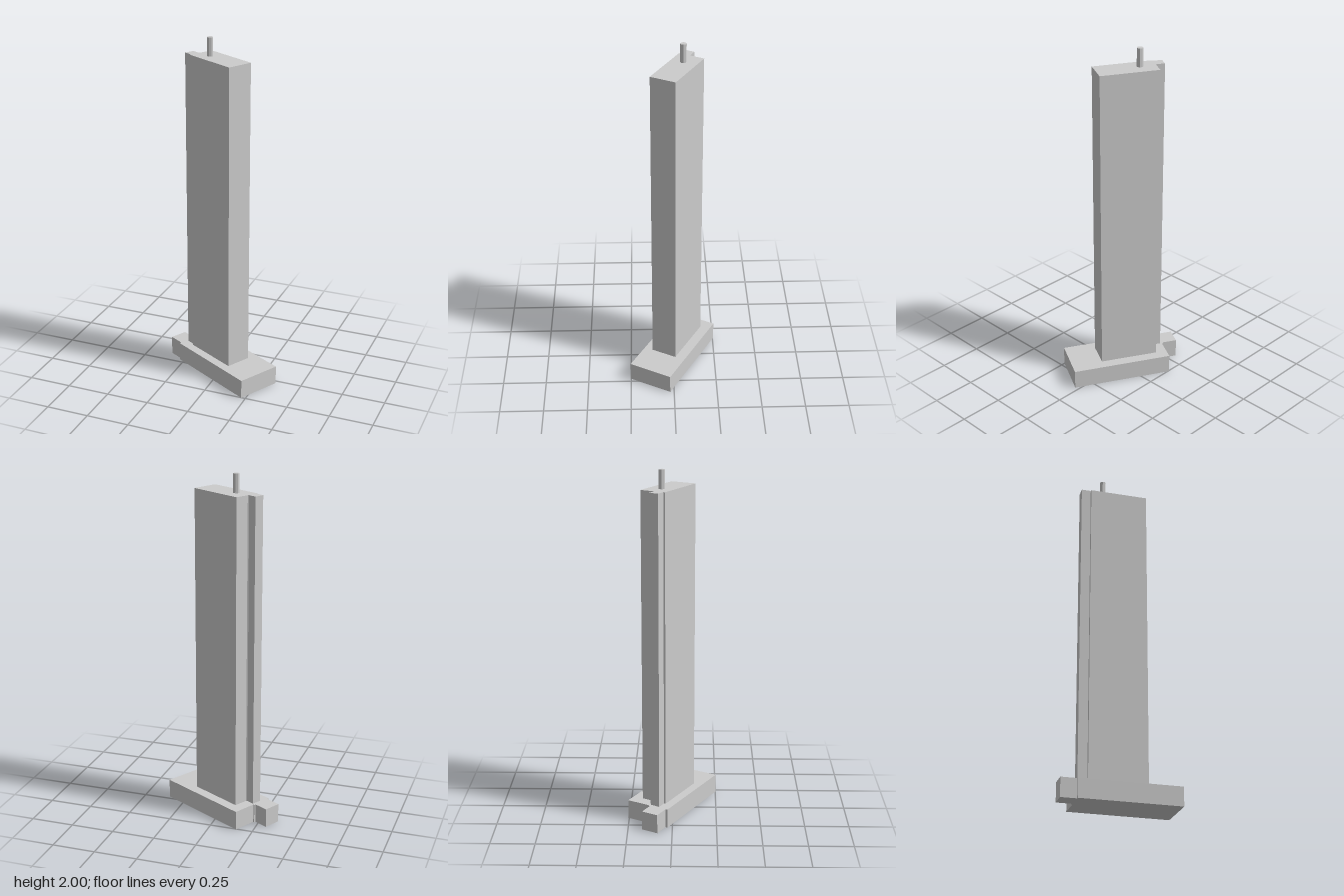
import * as THREE from 'three';

const material = new THREE.MeshStandardMaterial({ color: 0xcccccc, flatShading: true });

// Upright prism over a floor plan given as [x, z] corners
function prism(name, plan, bottom, top) {
  const shape = new THREE.Shape(plan.map(([x, z]) => new THREE.Vector2(x, -z)));
  const geometry = new THREE.ExtrudeGeometry(shape, { depth: top - bottom, bevelEnabled: false });
  geometry.rotateX(-Math.PI / 2);
  const mesh = new THREE.Mesh(geometry, material);
  mesh.name = name;
  mesh.position.y = bottom;
  return mesh;
}

export function createModel() {
  const group = new THREE.Group();
  group.name = 'towerBlock';
  const podiumTop = 0.11, roof = 1.895;

  // Wide podium with a narrow annex at its left end
  group.add(prism('podium', [
    [-0.154, -0.255], [0.353, 0.023], [0.226, 0.252], [-0.279, -0.028], [-0.274, -0.039],
    [-0.354, -0.083], [-0.306, -0.17], [-0.232, -0.129], [-0.227, -0.138], [-0.22, -0.134],
  ], 0, podiumTop));

  // Slab tower with a stair shaft at the same end
  group.add(prism('tower', [
    [-0.125, -0.173], [0.167, -0.012], [0.095, 0.121], [-0.198, -0.04], [-0.195, -0.049],
    [-0.242, -0.075], [-0.214, -0.124], [-0.172, -0.101], [-0.165, -0.103],
  ], podiumTop, roof));

  // Roof mast
  const mast = new THREE.Mesh(new THREE.CylinderGeometry(0.0175, 0.0175, 2 - roof, 8), material);
  mast.name = 'mast';
  mast.position.set(-0.087, (2 + roof) / 2, -0.06);
  group.add(mast);

  return group;
}
